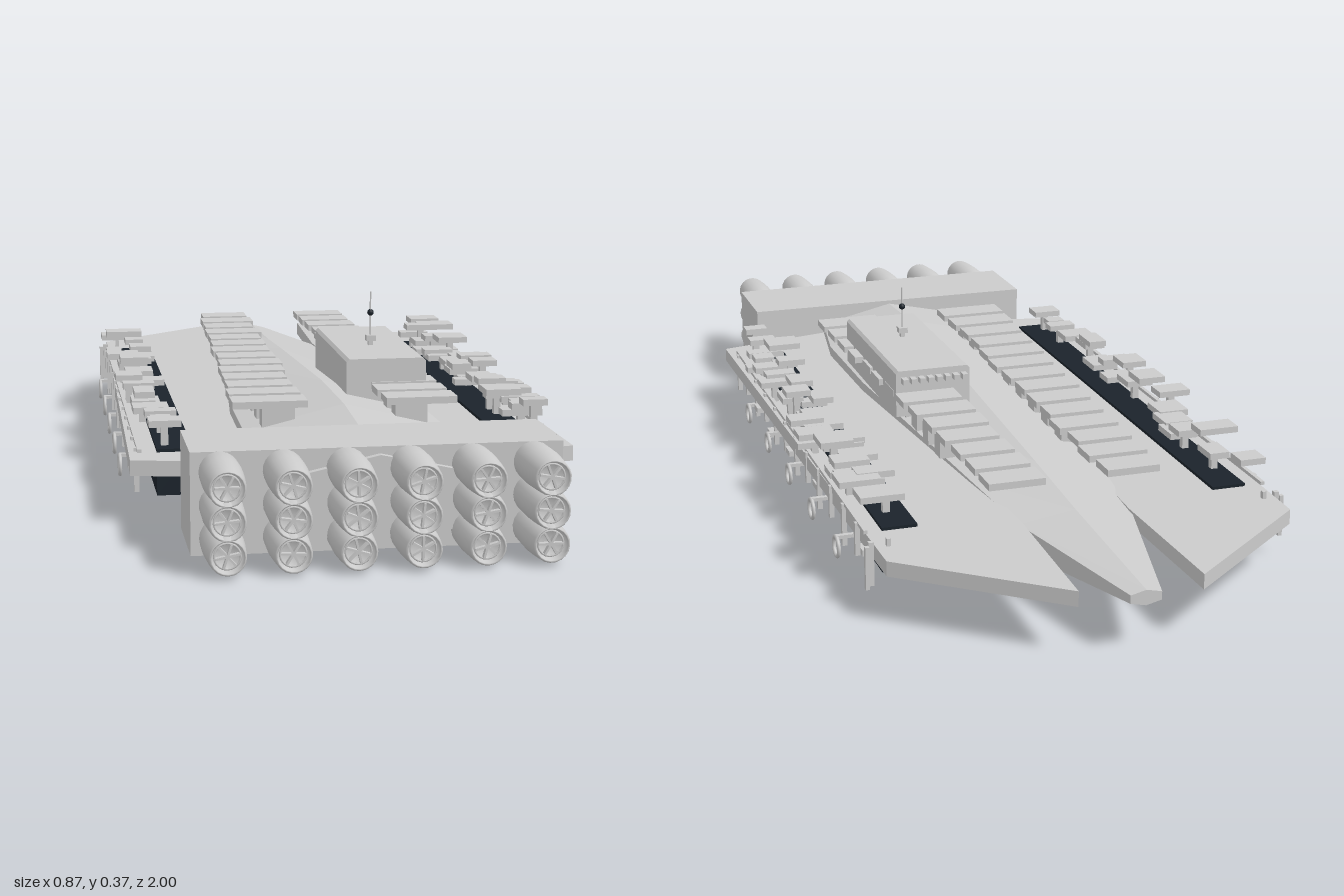
import * as THREE from 'three';

const grey = new THREE.MeshStandardMaterial({ color: 0xcccccc, flatShading: true, side: THREE.DoubleSide });
const smooth = new THREE.MeshStandardMaterial({ color: 0xcccccc, side: THREE.DoubleSide });
const dark = new THREE.MeshStandardMaterial({ color: 0x1b232b });

function add(parent, name, geometry, material, x = 0, y = 0, z = 0) {
  const mesh = new THREE.Mesh(geometry, material);
  mesh.name = name;
  mesh.position.set(x, y, z);
  parent.add(mesh);
  return mesh;
}

// Box given by its limits on each axis
function box(parent, name, x0, x1, y0, y1, z0, z1, material = grey) {
  return add(parent, name, new THREE.BoxGeometry(Math.abs(x1 - x0), y1 - y0, z1 - z0), material,
    (x0 + x1) / 2, (y0 + y1) / 2, (z0 + z1) / 2);
}

function seeded(seed) {
  return () => {
    seed = (seed * 16807) % 2147483647;
    return seed / 2147483647;
  };
}

// Hexagonal hull lofted through stations: z, half width, ridge, upper side, lower side, keel
function hullGeometry() {
  const stations = [
    [-1, 0.03, 0.125, 0.118, 0.102, 0.095],
    [-0.65, 0.115, 0.142, 0.125, 0.07, 0.052],
    [-0.42, 0.14, 0.158, 0.135, 0.052, 0.025],
    [0.2, 0.195, 0.195, 0.15, 0.05, 0.01],
    [0.48, 0.2, 0.2, 0.152, 0.045, 0.005],
    [0.67, 0.17, 0.19, 0.152, 0.05, 0.012],
    [0.875, 0.16, 0.185, 0.15, 0.05, 0.02],
  ];
  const pos = [], index = [];
  for (const [z, w, top, su, sl, bottom] of stations)
    pos.push(0, top, z, -w, su, z, -w, sl, z, 0, bottom, z, w, sl, z, w, su, z);
  for (let s = 0; s < stations.length - 1; s++)
    for (let i = 0; i < 6; i++) {
      const a = s * 6 + i, b = s * 6 + (i + 1) % 6;
      index.push(a, b, a + 6, b, b + 6, a + 6);
    }
  const last = (stations.length - 1) * 6;
  for (let i = 1; i < 5; i++) {
    index.push(0, i + 1, i);
    index.push(last, last + i, last + i + 1);
  }
  const g = new THREE.BufferGeometry();
  g.setAttribute('position', new THREE.Float32BufferAttribute(pos, 3));
  g.setIndex(index);
  g.computeVertexNormals();
  return g;
}

// Swept side deck, drawn in plan and extruded upward
function deckGeometry(side) {
  const outline = [[0.12, -0.98], [0.405, -0.75], [0.43, 0.61], [0.17, 0.67], [0.11, -0.65]];
  const shape = new THREE.Shape(outline.map(([x, z]) => new THREE.Vector2(side * x, -z)));
  const g = new THREE.ExtrudeGeometry(shape, { depth: 0.03, bevelEnabled: false });
  g.rotateX(-Math.PI / 2);
  return g;
}

// Bell with a recessed face, ring and six radial blades
function makeEngine() {
  const engine = new THREE.Group();
  engine.name = 'engine';
  const profile = [[0.028, 0], [0.037, 0.004], [0.038, 0.06], [0.036, 0.1], [0.033, 0.136],
    [0.031, 0.14], [0.029, 0.138], [0.028, 0.122], [0, 0.122]];
  const bell = new THREE.LatheGeometry(profile.map(([r, z]) => new THREE.Vector2(r, z)), 20);
  bell.rotateX(Math.PI / 2);
  add(engine, 'engineBell', bell, smooth);
  add(engine, 'engineRing', new THREE.TorusGeometry(0.023, 0.002, 5, 20), smooth, 0, 0, 0.127);
  for (let i = 0; i < 3; i++)
    add(engine, 'engineBlade', new THREE.BoxGeometry(0.044, 0.004, 0.01), grey, 0, 0, 0.127).rotation.z = i * Math.PI / 3 + 0.2;
  return engine;
}

// Side equipment: trench, posts, rings and layered plates
function makeSide(side) {
  const group = new THREE.Group();
  group.name = side > 0 ? 'leftSide' : 'rightSide';
  const rand = seeded(side > 0 ? 4711 : 1234);
  add(group, 'sideDeck', deckGeometry(side), grey, 0, 0.1, 0);
  box(group, 'trench', side * 0.305, side * 0.375, 0.045, 0.136, -0.61, 0.55, dark);
  box(group, 'sideRail', side * 0.405, side * 0.413, 0.132, 0.139, -0.62, 0.56);

  for (let i = 0; i < 13; i++) {
    const z = 0.53 - i * 0.1;
    box(group, 'post', side * 0.408, side * 0.418, 0.05 + (i % 2) * 0.02, 0.137, z - 0.005, z + 0.005);
  }
  for (let i = 0; i < 5; i++) {
    const z = 0.33 - i * 0.205;
    const ring = new THREE.TorusGeometry(0.02, 0.004, 6, 20);
    ring.rotateY(Math.PI / 2);
    add(group, 'sideRing', ring, smooth, side * 0.434, 0.058, z);
    box(group, 'ringArm', side * 0.375, side * 0.434, 0.074, 0.081, z - 0.005, z + 0.005);
  }

  // Layered plates over the trench
  const count = side > 0 ? 34 : 20;
  for (let i = 0; i < count; i++) {
    const z = -0.58 + (i + 0.5) * 1.1 / count + (rand() - 0.5) * 0.04;
    const w = 0.04 + rand() * 0.045, d = 0.03 + rand() * 0.045;
    const x = 0.335 + rand() * 0.065, y = 0.145 + rand() * 0.05;
    box(group, 'armourPlate', side * (x - w / 2), side * (x + w / 2), y, y + 0.013, z - d / 2, z + d / 2);
    if (i % 2) box(group, 'plateSupport', side * (x - 0.007), side * (x + 0.007), 0.13, y, z - 0.007, z + 0.007);
  }
  // Small fittings hung from the outer edge
  for (let i = 0; i < 7; i++) {
    const z = -0.55 + i * 0.17 + rand() * 0.04, y = 0.055 + rand() * 0.03;
    box(group, 'hangingFitting', side * 0.37, side * (0.395 + rand() * 0.03), y, y + 0.012, z - 0.018, z + 0.018);
  }
  box(group, 'sternMast', side * 0.378, side * 0.386, 0.13, 0.145, -0.685, -0.675);
  box(group, 'sternPost', side * 0.418, side * 0.426, 0.045, 0.13, -0.68, -0.67);

  // Row of raised panels above the hull
  for (let i = 0; i < 14; i++) {
    const t = i / 13, z = -0.617 + i * 0.084;
    const inner = 0.055 + 0.02 * t + rand() * 0.012, outer = 0.18 + 0.045 * t - rand() * 0.01;
    box(group, 'deckPanel', side * inner, side * outer, 0.2, 0.214, z - 0.032, z + 0.032);
    if (i > 3) box(group, 'panelPedestal', side * 0.1, side * 0.165, 0.14, 0.2, z - 0.02, z + 0.02);
    if (i < 13) box(group, 'panelLink', side * (inner + 0.03), side * (outer - 0.03), 0.19, 0.202, z + 0.02, z + 0.065);
  }
  return group;
}

export function createModel() {
  const model = new THREE.Group();
  model.name = 'ship';
  add(model, 'hull', hullGeometry(), grey);
  model.add(makeSide(1), makeSide(-1));

  // Engine block with a grid of bells
  box(model, 'engineBlock', -0.34, 0.337, 0.01, 0.198, 0.67, 0.862);
  const engine = makeEngine();
  for (let row = 0; row < 3; row++)
    for (let col = 0; col < 6; col++) {
      const e = engine.clone();
      e.position.set(-0.288 + col * 0.114, 0.042 + row * 0.06, 0.86);
      e.rotation.z = (row * 5 + col * 2) * 0.4;
      model.add(e);
    }

  // Bridge: bevelled block with a row of teeth on its forward face
  const side = new THREE.Shape([[0.03, 0.16], [0.195, 0.16], [0.195, 0.256], [0.189, 0.262], [0.036, 0.262], [0.03, 0.256]]
    .map(([x, y]) => new THREE.Vector2(x, y)));
  add(model, 'bridge', new THREE.ExtrudeGeometry(side, { depth: 0.415, bevelEnabled: false }), grey, 0, 0, -0.08);
  for (let i = 0; i < 8; i++) {
    const x = 0.045 + i * 0.019;
    box(model, 'bridgeWindow', x - 0.006, x + 0.006, 0.236, 0.248, -0.1, -0.08);
  }

  // Antenna
  box(model, 'antennaBase', 0.1, 0.12, 0.272, 0.284, 0.155, 0.175);
  box(model, 'antennaFoot', 0.105, 0.115, 0.26, 0.274, 0.16, 0.17);
  add(model, 'antennaPole', new THREE.CylinderGeometry(0.0015, 0.002, 0.093, 8), smooth, 0.11, 0.33, 0.165);
  add(model, 'antennaBall', new THREE.SphereGeometry(0.007, 12, 8), dark, 0.11, 0.332, 0.165);
  return model;
}
